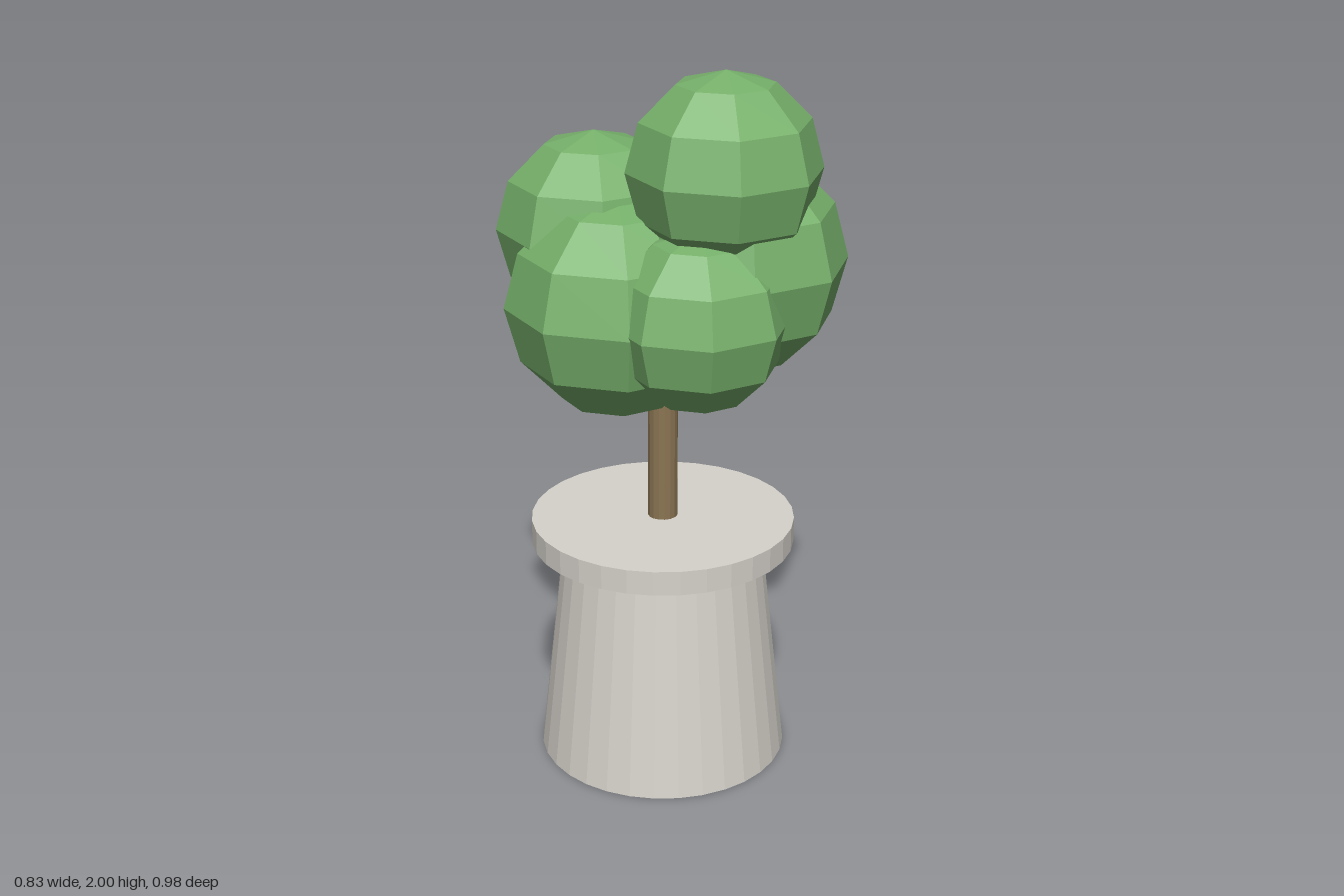
import * as THREE from 'three';

const paint = (color) => new THREE.MeshStandardMaterial({ color, flatShading: true });

export function createModel() {
  const model = new THREE.Group();
  model.name = 'pottedTree';
  const stone = paint(0xd6d2cb);
  const bark = paint(0x8b7553);
  const leaf = paint(0x76b06a);

  const add = (name, geometry, material, x, y, z, parent = model) => {
    const mesh = new THREE.Mesh(geometry, material);
    mesh.name = name;
    mesh.position.set(x, y, z);
    parent.add(mesh);
  };

  // Upright cylinder on the shared axis of pot and trunk, from y0 to y1
  const column = (name, rTop, rBottom, y0, y1, sides, material) =>
    add(name, new THREE.CylinderGeometry(rTop, rBottom, y1 - y0, sides),
      material, -0.043, (y0 + y1) / 2, 0.04);

  // Tapered pot with an overhanging rim, and the trunk
  column('potBody', 0.283, 0.355, 0, 0.65, 32, stone);
  column('potRim', 0.372, 0.372, 0.648, 0.718, 32, stone);
  column('trunk', 0.042, 0.042, 0.7, 1.4, 16, bark);

  // Five overlapping faceted leaf balls: name, x, y, z, radius
  const foliage = new THREE.Group();
  foliage.name = 'foliage';
  model.add(foliage);
  const balls = [
    ['topLeafBall', 0.02, 1.734, 0.197, 0.266],
    ['leftLeafBall', 0.105, 1.46, 0.177, 0.31],
    ['rightLeafBall', -0.105, 1.34, -0.07, 0.31],
    ['frontLeafBall', -0.1, 1.35, 0.206, 0.249],
    ['backLeafBall', -0.022, 1.515, -0.216, 0.273],
  ];
  for (const [name, x, y, z, r] of balls) {
    add(name, new THREE.SphereGeometry(r, 8, 6), leaf, x, y, z, foliage);
  }
  return model;
}
